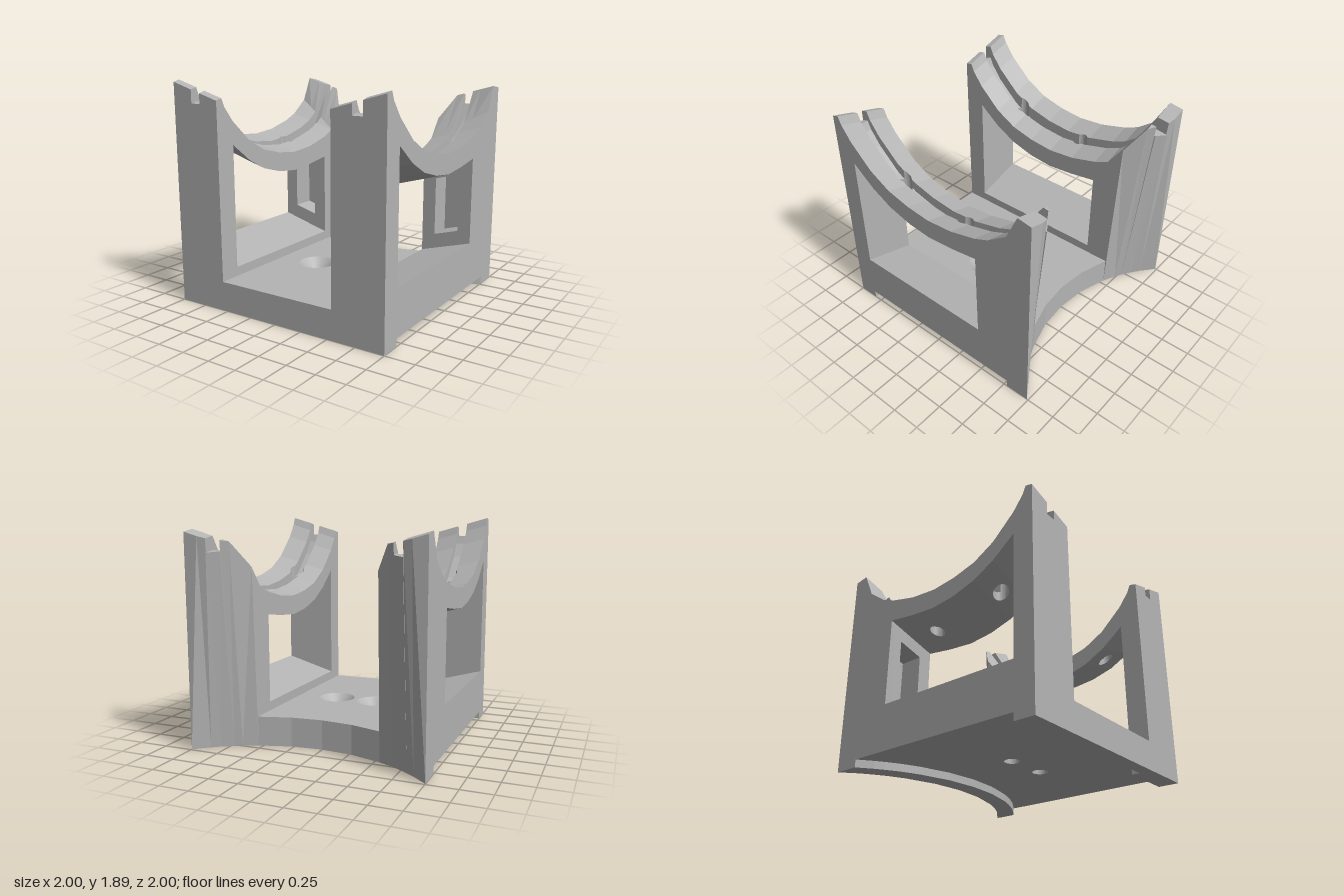
import * as THREE from 'three';

const grey = new THREE.MeshStandardMaterial({ color: 0xb4b4b4 });
grey.name = 'grey';

// Piecewise-linear profile lookup; points run from +z to -z
const profile = (pts) => (z) => {
  let i = 0;
  while (i < pts.length - 2 && z < pts[i + 1][0]) i++;
  const [a, b] = [pts[i], pts[i + 1]];
  return a[1] + ((z - a[0]) / (b[0] - a[0])) * (b[1] - a[1]);
};

const cradle = profile([[1, 1.875], [0.94, 1.89], [0.91, 1.82], [0.82, 1.7], [0.62, 1.515], [0.43, 1.41],
  [0.22, 1.355], [0, 1.33], [-0.24, 1.35], [-0.48, 1.41], [-0.61, 1.465], [-0.78, 1.59]]);
const ceiling = profile([[0.82, 1.5], [0.62, 1.345], [0.43, 1.245], [0.22, 1.185], [0, 1.16], [-0.24, 1.18], [-0.48, 1.215]]);
const drop = (x) => 0.283 * (1 - x);                 // everything slopes down toward the middle
const IN = 0.54, G0 = 0.72, G1 = 0.81;               // wall inner face, groove sides
const GROOVE = 0.166;
const arc = (z, r) => (x) => z - (r - Math.sqrt(r * r - x * x));
const rear = arc(-0.585, 1.44);                      // concave back edge
const rimInner = arc(-0.42, 1.57);                   // inner edge of the back foot rim
const rearTop = { 0.54: -0.745, 0.66: -0.88, 0.72: -0.925, 0.81: -0.985, 0.88: -1, 1: -1 };

// Solid between two matching rings of [x, y, z]; axes are the two used for the caps
function loft(a, b, axes) {
  const flat = (r) => r.map((p) => new THREE.Vector2(p[axes[0]], p[axes[1]]));
  if (THREE.ShapeUtils.area(flat(a)) < 0) { a = [...a].reverse(); b = [...b].reverse(); }
  const out = [];
  const tri = (...ps) => ps.forEach((p) => out.push(...p));
  a.forEach((p, i) => {
    const j = (i + 1) % a.length;
    tri(p, b[i], b[j]);
    tri(p, b[j], a[j]);
  });
  THREE.ShapeUtils.triangulateShape(flat(a), []).forEach(([i, j, k]) => tri(a[i], a[j], a[k]));
  THREE.ShapeUtils.triangulateShape(flat(b), []).forEach(([i, j, k]) => tri(b[k], b[j], b[i]));
  const g = new THREE.BufferGeometry();
  g.setAttribute('position', new THREE.Float32BufferAttribute(out, 3));
  g.computeVertexNormals();
  return g;
}

// Loft along x from a (z, y) section, and along y from an (x, z) plan
const column = (x0, x1, section) =>
  loft(...[x0, x1].map((x) => section(x).map(([z, y]) => [x, y, z])), [2, 1]);
const prism = (plan, bottom, top) =>
  loft(...[bottom, top].map((f) => plan.map(([x, z]) => [x, f(x, z), z])), [0, 2]);

function mirrored(g) {
  const m = g.clone(), p = m.attributes.position.array;
  for (let i = 0; i < p.length; i += 9) {
    for (let k = 0; k < 3; k++) {
      const t = p[i + 3 + k];
      p[i + 3 + k] = p[i + 6 + k];
      p[i + 6 + k] = t;
    }
    for (let k = 0; k < 9; k += 3) p[i + k] *= -1;
  }
  m.computeVertexNormals();
  return m;
}

export function createModel() {
  const model = new THREE.Group();
  model.name = 'cradleBracket';
  const sides = ['left', 'right'].map((n) => {
    const g = new THREE.Group();
    g.name = n + 'Wall';
    model.add(g);
    return g;
  });
  const add = (name, g, parent = model) => {
    const m = new THREE.Mesh(g, grey);
    m.name = name;
    parent.add(m);
  };
  const addPair = (name, g) => {
    add(name, g, sides[0]);
    add(name, mirrored(g), sides[1]);
  };

  // Front posts, with the groove running through the top
  [[IN, G0], [G0, G1], [G1, 1]].forEach(([x0, x1]) => {
    const low = x0 === G0;
    addPair('frontPost', column(x0, x1, (x) => [[0.82, 0], [1, 0],
      ...[1, 0.94, 0.91, 0.82].map((z) => [z, cradle(z) - (low ? GROOVE : drop(x))])]));
  });

  // Window sills
  addPair('windowSill', column(IN, 1, (x) => [[-0.48, 0.065], [0.82, 0.065], [0.82, 0.46 - drop(x)], [-0.48, 0.46 - drop(x)]]));

  // Back posts: leaning concave back, steep upper cradle and a pocket facing the window
  const stations = [0.54, 0.66, 0.72, 0.81, 0.88, 1];
  for (let i = 0; i < 5; i++) {
    const low = i === 2, pocket = i > 0 && i < 4;
    addPair('backPost', column(stations[i], stations[i + 1], (x) => {
      const back = rearTop[x], d = drop(x);
      const steep = -0.61 - 0.17 * (x - IN) / (1 - IN);
      const upper = profile([[steep, cradle(steep)], [-0.88, 1.805], [-1, 1.785]]);
      const top = [-0.48, -0.61, steep, -0.88, back].map((z) => {
        z = Math.max(z, back);
        return [z, (z >= steep ? cradle(z) : upper(z)) - (low ? GROOVE : d)];
      });
      const recess = pocket ? [[-0.48, 0.59 - d], [-0.69, 0.59 - d], [-0.69, 1.1 - d], [-0.48, 1.1 - d]] : [];
      return [[rear(x), 0], [rimInner(x), 0], [rimInner(x), 0.065], [-0.48, 0.065], ...recess, ...top];
    }));
  }

  // Curved cradle bands with groove and vertical strap holes
  const breaks = [0.82, 0.62, 0.43, 0.22, 0, -0.24, -0.48];
  const cx = (G0 + G1) / 2, r = 0.063, half = Math.acos((G1 - cx) / r);
  const bite = (cz, from, to) => Array.from({ length: 9 }, (_, k) => {
    const t = from + ((to - from) * k) / 8;
    return [cx + r * Math.cos(t), cz + r * Math.sin(t)];
  });
  const under = (x, z) => ceiling(z) - drop(x);
  const land = (x, z) => cradle(z) - drop(x);
  const groove = (x, z) => cradle(z) - GROOVE;
  for (let i = 0; i < 6; i++) {
    const z0 = breaks[i + 1], z1 = breaks[i];
    const hole = { 1: 0.51, 4: -0.17 }[i];
    const has = hole !== undefined;
    addPair('cradleBand', prism([[G1, z0], ...(has ? bite(hole, -half, half) : []), [G1, z1], [1, z1], [1, z0]], under, land));
    addPair('cradleBand', prism([[G0, z1], ...(has ? bite(hole, Math.PI - half, Math.PI + half) : []), [G0, z0], [IN, z0], [IN, z1]], under, land));
    const floors = has
      ? [[[G0, z0], [G1, z0], ...bite(hole, -half, half - Math.PI)], [[G1, z1], [G0, z1], ...bite(hole, Math.PI - half, half)]]
      : [[[G0, z0], [G1, z0], [G1, z1], [G0, z1]]];
    floors.forEach((f) => addPair('grooveFloor', prism(f, under, groove)));
  }

  // Floor plate in two layers, with countersunk bolt holes
  const xs = [-IN, -0.27, 0, 0.27, IN];
  const boltX = 0.185, boltZ = 0.155;
  const plate = (radius, y0, y1) => {
    const s = new THREE.Shape([[-IN, 1], [IN, 1], ...[...xs].reverse().map((x) => [x, rear(x)])]
      .map(([x, z]) => new THREE.Vector2(x, -z)));
    [-1, 1].forEach((k) => s.holes.push(new THREE.Path().absarc(k * boltX, -boltZ, radius, 0, Math.PI * 2, true)));
    return new THREE.ExtrudeGeometry(s, { depth: y1 - y0, bevelEnabled: false, curveSegments: 32 })
      .rotateX(-Math.PI / 2).translate(0, y0, 0);
  };
  add('floorLower', plate(0.065, 0.065, 0.16));
  const upper = plate(0.16, 0.16, 0.25), p = upper.attributes.position;
  for (let i = 0; i < p.count; i++) {
    const bx = Math.sign(p.getX(i)) * boltX;
    const dx = p.getX(i) - bx, dz = p.getZ(i) - boltZ;
    if (p.getY(i) < 0.2 && Math.hypot(dx, dz) < 0.17) {
      p.setX(i, bx + dx * 0.065 / 0.16);
      p.setZ(i, boltZ + dz * 0.065 / 0.16);
    }
  }
  upper.computeVertexNormals();
  add('floorUpper', upper);

  // Feet under the floor: curved back rim and a narrower front strip
  add('backFootRim', prism([...xs.map((x) => [x, rear(x)]), ...[...xs].reverse().map((x) => [x, rimInner(x)])], () => 0, () => 0.065));
  add('frontFootStrip', new THREE.BoxGeometry(IN * 2, 0.065, 0.11).translate(0, 0.0325, 0.945));

  return model;
}
